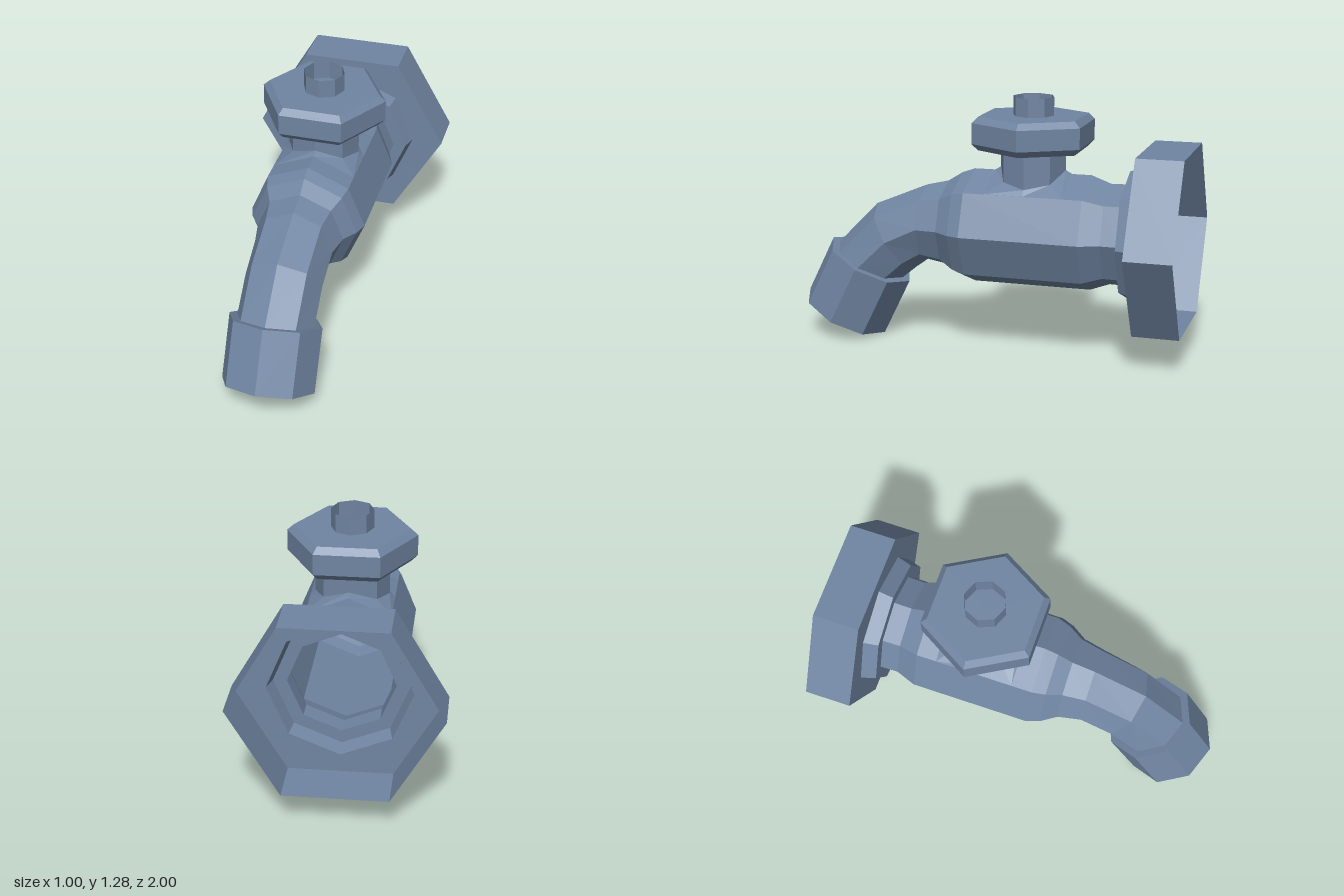
import * as THREE from 'three';

const material = new THREE.MeshStandardMaterial({
  color: 0x7085a2, flatShading: true, side: THREE.DoubleSide,
});

function part(name, geometry, parent) {
  const mesh = new THREE.Mesh(geometry, material);
  mesh.name = name;
  parent.add(mesh);
  return mesh;
}

// Joins octagonal rings [z, y, radius, tilt in radians] into an open skin
function loft(rings, sides = 8) {
  const positions = [], index = [];
  for (const [z, y, r, tilt = 0] of rings) {
    for (let i = 0; i < sides; i++) {
      const a = (i / sides) * Math.PI * 2;
      const up = r * Math.sin(a);
      positions.push(r * Math.cos(a), y + up * Math.cos(tilt), z + up * Math.sin(tilt));
    }
  }
  for (let k = 0; k < rings.length - 1; k++) {
    for (let i = 0; i < sides; i++) {
      const j = (i + 1) % sides;
      const a = k * sides + i, b = k * sides + j;
      index.push(a, b, b + sides, a, b + sides, a + sides);
    }
  }
  const geometry = new THREE.BufferGeometry();
  geometry.setAttribute('position', new THREE.Float32BufferAttribute(positions, 3));
  geometry.setIndex(index);
  geometry.computeVertexNormals();
  return geometry;
}

// Corner points of a regular polygon with a corner on +x
function polygon(sides, radius) {
  return Array.from({ length: sides }, (_, i) => {
    const a = (i / sides) * Math.PI * 2;
    return new THREE.Vector2(radius * Math.cos(a), radius * Math.sin(a));
  });
}

// Octagonal stem whose foot follows the roof of the body and flares into it
function stemGeometry() {
  const geometry = new THREE.CylinderGeometry(0.18, 0.18, 2, 8, 2, true);
  const p = geometry.attributes.position;
  const side = (v) => (Math.abs(v) < 0.01 ? 0 : Math.sign(v));
  for (let i = 0; i < p.count; i++) {
    const level = Math.round(p.getY(i));
    let x = p.getX(i), z = p.getZ(i) * 0.92, y = 1.02;
    if (level === 0) y = 0.918 - 0.414 * Math.abs(x);
    if (level < 0) {
      x = 0.205 * side(x);
      z = 0.195 * side(z);
      y = 0.901 - 0.414 * Math.abs(x);
    }
    p.setXYZ(i, x, y, z);
  }
  geometry.computeVertexNormals();
  return geometry;
}

export function createModel() {
  const tap = new THREE.Group();
  tap.name = 'tap';
  const axisY = 0.61;

  // Hollow hexagonal wall nut: open skirt plus a front plate with an octagonal hole
  const nut = new THREE.Group();
  nut.name = 'wallNut';
  nut.position.y = axisY;
  tap.add(nut);
  const skirt = new THREE.CylinderGeometry(0.5, 0.5, 0.232, 6, 1, true, Math.PI / 2);
  skirt.rotateX(Math.PI / 2);
  part('wallNutSkirt', skirt, nut).position.z = -0.884;
  const plate = new THREE.Shape(polygon(6, 0.5));
  plate.holes.push(new THREE.Path(polygon(8, 0.342).reverse()));
  part('wallNutPlate', new THREE.ShapeGeometry(plate), nut).position.z = -0.768;

  // Stepped collar, body and bent spout as one hollow skin
  const endTilt = 1.116;
  part('bodyAndSpout', loft([
    [-0.768, axisY, 0.342],
    [-0.695, axisY, 0.32],
    [-0.695, axisY, 0.255],
    [-0.605, axisY, 0.253],
    [-0.505, axisY, 0.29],
    [0.09, axisY, 0.29],
    [0.155, axisY, 0.267],
    [0.23, 0.612, 0.218],
    [0.345, 0.608, 0.194],
    [0.512, 0.528, 0.191, 0.575],
    [0.655, 0.389, 0.191, endTilt],
  ]), tap);

  // Nozzle sleeve with a rim and a bore
  const top = [0.655, 0.389], end = [0.795, 0.102];
  part('nozzle', loft([
    [...top, 0.191, endTilt],
    [...top, 0.231, endTilt],
    [...end, 0.231, endTilt],
    [...end, 0.16, endTilt],
    [...top, 0.16, endTilt],
  ]), tap);

  // Valve: flared octagonal stem, chamfered hexagonal handle, open socket on top
  const valve = new THREE.Group();
  valve.name = 'valve';
  valve.position.z = -0.21;
  tap.add(valve);
  part('valveStem', stemGeometry(), valve);
  const profile = [[0, 1.019], [0.28, 1.019], [0.312, 1.051], [0.312, 1.154], [0.28, 1.184], [0, 1.184]];
  part('handle', new THREE.LatheGeometry(
    profile.map(([r, y]) => new THREE.Vector2(r, y)), 6, Math.PI / 2), valve);
  part('handleSocket', new THREE.CylinderGeometry(0.103, 0.103, 0.092, 8, 1, true), valve)
    .position.y = 1.23;

  return tap;
}
